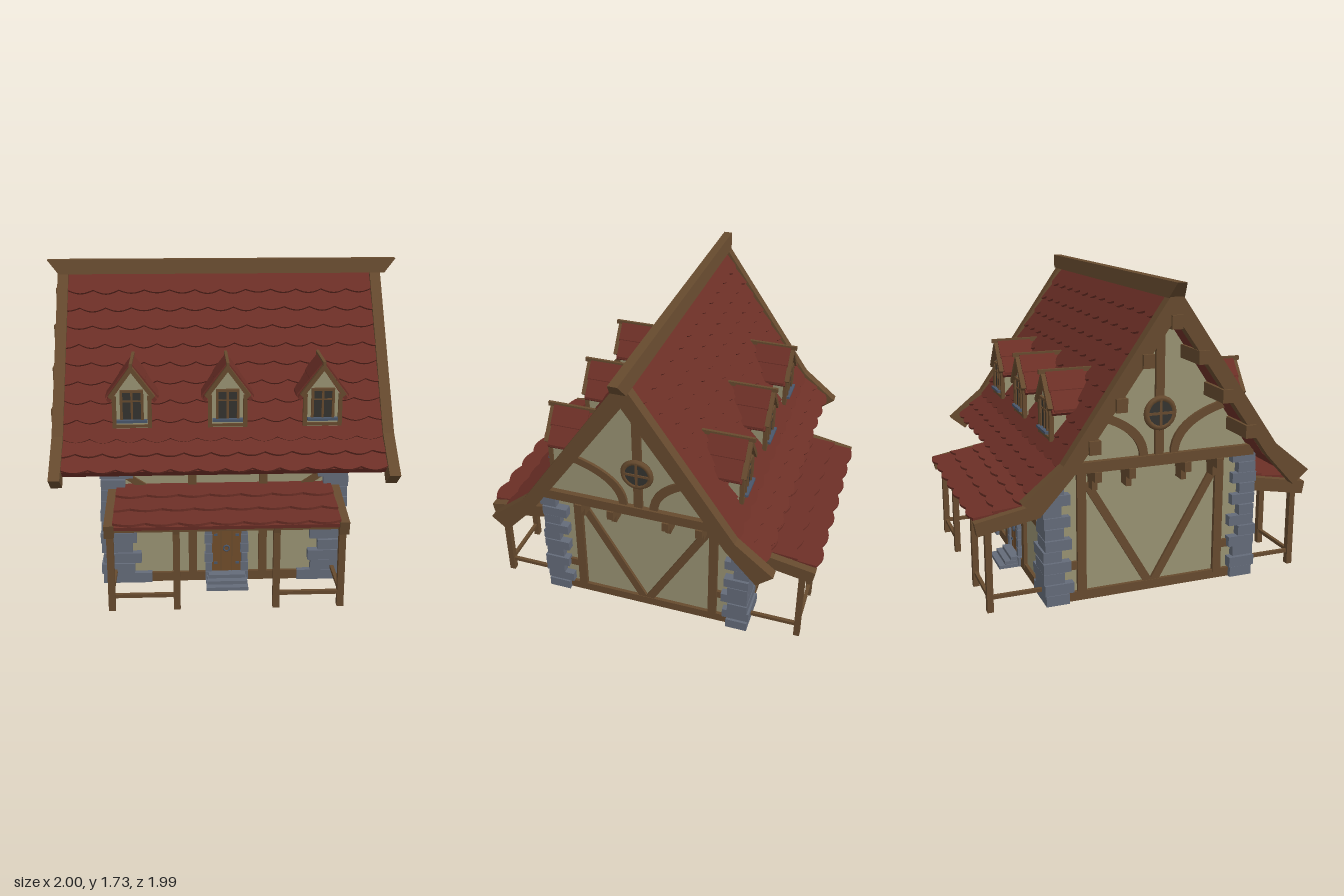
import * as THREE from 'three';

const mat = (name, color) => {
  const m = new THREE.MeshStandardMaterial({ color });
  m.name = name;
  return m;
};
const V = (x, y, z) => new THREE.Vector3(x, y, z);

export function createModel() {
  const wood = mat('timber', 0x664a2e);
  const plaster = mat('plaster', 0x989272);
  const red = mat('roof tile', 0x6c2f26);
  const stone = mat('stone', 0x646b79);
  const glass = mat('dark glass', 0x34332f);
  const plank = mat('door wood', 0x704c2a);
  const iron = mat('iron', 0x49566a);

  let seed = 11;
  const rnd = () => (seed = (seed * 16807) % 2147483647) / 2147483647;

  const add = (parent, name, geo, m) => {
    const mesh = new THREE.Mesh(geo, m);
    mesh.name = name;
    parent.add(mesh);
    return mesh;
  };
  const group = (parent, name) => {
    const g = new THREE.Group();
    g.name = name;
    parent.add(g);
    return g;
  };
  const box = (parent, name, m, x, y, z, w, h, d) => {
    const b = add(parent, name, new THREE.BoxGeometry(w, h, d), m);
    b.position.set(x, y, z);
    return b;
  };
  // Square timber running from a to b
  const beam = (parent, name, a, b, w, d, m = wood) => {
    const p = V(...a), q = V(...b), y = q.clone().sub(p);
    const len = y.length();
    y.normalize();
    const hint = Math.abs(y.z) > 0.9 ? V(0, 1, 0) : V(0, 0, 1);
    const x = y.clone().cross(hint).normalize();
    const mesh = add(parent, name, new THREE.BoxGeometry(w, len, d), m);
    mesh.quaternion.setFromRotationMatrix(new THREE.Matrix4().makeBasis(x, y, x.clone().cross(y)));
    mesh.position.copy(p.add(q).multiplyScalar(0.5));
    return mesh;
  };
  const extrude = (parent, name, m, pts, z0, z1) => {
    const shape = new THREE.Shape(pts.map(p => new THREE.Vector2(...p)));
    const geo = new THREE.ExtrudeGeometry(shape, { depth: z1 - z0, bevelEnabled: false });
    return add(parent, name, geo.translate(0, 0, z0), m);
  };
  // Symmetric outline: outer points from apex down, then inner points back up
  const mirrored = half => {
    const inner = half[half.length - 1];
    return [...half, ...half.slice(1, -1).reverse().map(([x, y]) => [-x, y])].filter(p => p !== undefined && inner);
  };

  // One course of scalloped tiles between slope points [z, y]
  const tileRow = (parent, top, bottom, width, tile, phase) => {
    const up = V(0, top[1] - bottom[1], top[0] - bottom[0]);
    const n = V(1, 0, 0).cross(up).normalize();
    const low = V(0, bottom[1], bottom[0]).addScaledVector(n, 0.013);
    up.copy(V(0, top[1], top[0]).sub(low));
    const len = up.length();
    up.normalize();
    const pts = [[-width / 2, len]];
    const steps = Math.round(width / tile * 6);
    let last = -1, jitter = 0;
    for (let i = 0; i <= steps; i++) {
      const u = i / 6 + phase + 1e-6, id = Math.floor(u);
      if (id !== last) { last = id; jitter = rnd() * 0.008; }
      const s = Math.sin(Math.PI * (u - id));
      pts.push([-width / 2 + width * i / steps, -0.004 - (0.018 + jitter) * Math.max(0, s)]);
    }
    pts.push([width / 2, len]);
    const mesh = extrude(parent, 'tileCourse', red, pts, 0, 0.013);
    mesh.quaternion.setFromRotationMatrix(
      new THREE.Matrix4().makeBasis(V(1, 0, 0), up, V(1, 0, 0).cross(up)));
    mesh.position.copy(low);
  };

  const model = new THREE.Group();
  model.name = 'cottage';
  const house = group(model, 'house');
  house.position.x = -0.015;

  // Roof shell, gable boards and ridge beam
  const roof = group(house, 'roof');
  const shell = mirrored([[0, 1.645], [0.563, 0.833], [0.72, 0.705], [0.69, 0.67], [0.545, 0.79], [0, 1.58]]);
  extrude(roof, 'roofShell', red, shell, -0.87, 0.87).rotation.y = Math.PI / 2;
  const board = mirrored([[0, 1.71], [0.59, 0.86], [0.8, 0.69], [0.71, 0.615], [0.54, 0.8], [0, 1.56]]);
  for (const s of [-1, 1])
    extrude(roof, 'gableBoard', wood, board, s > 0 ? 0.865 : -0.925, s > 0 ? 0.925 : -0.865).rotation.y = Math.PI / 2;
  const ridge = new THREE.BoxGeometry(2, 0.08, 0.05);
  const rp = ridge.attributes.position;
  for (let i = 0; i < rp.count; i++)
    if (rp.getY(i) < 0) rp.setXYZ(i, rp.getX(i) * 0.935, rp.getY(i), rp.getZ(i) * 1.7);
  ridge.computeVertexNormals();
  add(model, 'ridgeBeam', ridge, wood).position.y = 1.692;
  // Purlin ends on the right gable
  for (const [z, y] of [[0, 1.535], [0.15, 1.35], [0.29, 1.14], [0.43, 0.94]])
    for (const s of z ? [-1, 1] : [1])
      box(roof, 'purlin', wood, -0.81, y, s * z, 0.26, 0.07, 0.06);

  // Ground floor walls
  for (const s of [-1, 1]) {
    box(house, 'longWall', plaster, 0, 0.4, s * 0.57, 1.26, 0.76, 0.03);
    box(house, 'endWall', plaster, s * 0.615, 0.4, 0, 0.03, 0.76, 1.12);
  }

  // Stone quoins, wider towards the ground
  for (const sx of [-1, 1]) for (const sz of [-1, 1]) {
    const corner = group(house, 'stoneCorner');
    for (let i = 0; i < 12; i++) {
      const flare = Math.max(0, 1 - i / 6);
      const w = (i % 2 ? 0.12 : 0.16) + flare * 0.06 + rnd() * 0.02 + (i ? 0 : 0.03);
      const d = (i % 2 ? 0.13 : 0.09) + flare * 0.03 + rnd() * 0.02;
      const ox = 0.668 + rnd() * 0.014, oz = 0.612 + rnd() * 0.018;
      box(corner, 'quoin', stone, sx * (ox - w / 2), 0.031 + i * 0.0625, sz * (oz - d / 2), w, 0.058, d);
    }
  }

  const dormer = (parent, x) => {
    const g = group(parent, 'dormer');
    g.position.x = x;
    extrude(g, 'dormerWall', plaster, [[-0.095, 0.89], [0.095, 0.89], [0.095, 1.09], [0, 1.215], [-0.095, 1.09]], 0.3, 0.548);
    const chev = t => [[0, 1.235 + t], [0.135, 1.05 + t], [0.12, 1.035], [0, 1.205], [-0.12, 1.035], [-0.135, 1.05 + t]];
    extrude(g, 'dormerRoof', red, chev(0), 0.3, 0.55);
    extrude(g, 'dormerGableBoard', wood, [[0, 1.245], [0.125, 1.075], [0.108, 1.06], [0, 1.205], [-0.108, 1.06], [-0.125, 1.075]], 0.545, 0.572);
    // Overlapping tile courses on both slopes
    for (const s of [-1, 1]) for (const [a, b] of [[0.005, 0.075], [0.07, 0.142]]) {
      const y = v => 1.248 - v * 1.35;
      const p = [[s * a, y(a)], [s * b, y(b)], [s * b, y(b) + 0.013], [s * a, y(a) + 0.008]];
      extrude(g, 'dormerTiles', red, p, 0.34, 0.555 - b * 0.08);
    }
    box(g, 'dormerRidge', wood, 0, 1.245, 0.435, 0.016, 0.024, 0.3);
    for (const s of [-1, 1]) {
      box(g, 'dormerPost', wood, s * 0.095, 0.985, 0.548, 0.022, 0.18, 0.024);
      box(g, 'windowJamb', wood, s * 0.056, 1.015, 0.553, 0.014, 0.17, 0.02);
    }
    box(g, 'windowPane', glass, 0, 1.015, 0.55, 0.105, 0.165, 0.008);
    box(g, 'windowHead', wood, 0, 1.1, 0.553, 0.126, 0.014, 0.02);
    box(g, 'mullion', wood, 0, 1.015, 0.555, 0.012, 0.165, 0.008);
    box(g, 'glazingBar', wood, 0, 1.045, 0.555, 0.105, 0.008, 0.008);
    box(g, 'windowSill', iron, 0, 0.936, 0.56, 0.165, 0.014, 0.035);
    box(g, 'dormerSill', wood, 0, 0.905, 0.548, 0.2, 0.016, 0.02);
  };

  const door = (parent, x) => {
    const g = group(parent, 'doorway');
    g.position.x = x;
    box(g, 'doorLeaf', plank, 0, 0.19, 0.594, 0.175, 0.29, 0.02);
    for (const s of [-1, 1]) {
      for (let i = 0; i < 6; i++)
        box(g, 'jambStone', stone, s * 0.1, 0.035 + i * 0.056, 0.598, 0.034 + rnd() * 0.014, 0.052, 0.04);
      box(g, 'doorSeam', wood, s * 0.03, 0.19, 0.604, 0.005, 0.27, 0.006);
    }
    for (let i = 0; i < 5; i++)
      box(g, 'lintelStone', stone, -0.092 + i * 0.046, 0.342, 0.598, 0.044, 0.032 + rnd() * 0.01, 0.042);
    add(g, 'doorRing', new THREE.TorusGeometry(0.016, 0.005, 6, 16), iron).position.set(0, 0.2, 0.61);
    for (const y of [0.11, 0.28]) for (const s of [-1, 1])
      box(g, 'doorStud', iron, s * 0.06, y, 0.606, 0.02, 0.012, 0.008);
    for (let i = 0; i < 3; i++)
      box(g, 'step', stone, 0, 0.01 + i * 0.02, 0.655 - i * 0.018, 0.23 - i * 0.012, 0.02, 0.15 - i * 0.036);
  };

  const porch = parent => {
    const g = group(parent, 'porch');
    for (const s of [-1, 1]) {
      for (const x of [0.605, 0.262]) box(g, 'porchPost', wood, s * x, 0.225, 0.905, 0.036, 0.45, 0.034);
      beam(g, 'porchRafter', [s * 0.605, 0.545, 0.57], [s * 0.605, 0.472, 0.97], 0.05, 0.075);
      beam(g, 'innerRafter', [s * 0.262, 0.52, 0.57], [s * 0.262, 0.455, 0.93], 0.034, 0.04);
      box(g, 'frontRail', wood, s * 0.433, 0.08, 0.905, 0.33, 0.02, 0.02);
      box(g, 'sideRail', wood, s * 0.605, 0.08, 0.745, 0.02, 0.02, 0.32);
    }
    box(g, 'porchHeader', wood, 0, 0.468, 0.905, 1.2, 0.04, 0.034);
    beam(g, 'porchDeck', [0, 0.553, 0.585], [0, 0.485, 0.96], 1.17, 0.02, red);
    for (let i = 2; i >= 0; i--) {
      const at = t => [0.58 + t * 0.385, 0.572 - t * 0.072];
      tileRow(g, at(i / 3), at((i + 1) / 3), 1.17, 0.167, i % 2 ? 0.5 : 0);
    }
  };

  // Two long sides with the same build
  const slope = s => s < 0.99
    ? [0.565 * s / 0.99, 1.647 - 0.814 * s / 0.99]
    : [0.565 + (s - 0.99) * 0.777, 0.833 - (s - 0.99) * 0.629];
  for (const s of [1, -1]) {
    const side = group(house, s > 0 ? 'frontSide' : 'backSide');
    if (s < 0) side.rotation.y = Math.PI;
    for (let i = 0; i < 11; i++) {
      const a = i < 9 ? i * 0.11 : 0.99 + (i - 9) * 0.1;
      const b = i < 9 ? a + 0.11 : a + 0.1;
      tileRow(side, slope(a), slope(b - 1e-4), 1.735, 0.145, (i % 2) * 0.5);
    }
    for (const x of [-0.515, 0, 0.515]) dormer(side, x + s * 0.021);
    door(side, s * 0.013);
    porch(side);
    // Timber framing
    box(side, 'sill', wood, 0, 0.028, 0.588, 1.2, 0.052, 0.03);
    box(side, 'midRail', wood, 0, 0.4, 0.588, 1.2, 0.038, 0.03);
    for (const d of [-1, 1]) {
      box(side, 'wallPost', wood, d * 0.195 + s * 0.02, 0.39, 0.589, 0.046, 0.72, 0.034);
      beam(side, 'brace', [d * 0.6, 0.68, 0.586], [d * 0.21, 0.42, 0.586], 0.036, 0.028);
    }
  }

  // Two gable ends
  for (const s of [1, -1]) {
    const end = group(house, s > 0 ? 'leftGable' : 'rightGable');
    end.rotation.y = s * Math.PI / 2;
    extrude(end, 'gableWall', plaster, [[-0.55, 0.77], [0.55, 0.77], [0, 1.585]], 0.61, 0.72);
    box(end, 'gableTie', wood, 0, 0.78, 0.7, 1.12, 0.058, 0.1);
    box(end, 'kingPost', wood, 0, 1.18, 0.725, 0.048, 0.76, 0.03);
    box(end, 'endSill', wood, 0, 0.028, 0.632, 1.2, 0.052, 0.036);
    for (const d of [-1, 1]) {
      box(end, 'endPost', wood, d * 0.405, 0.4, 0.635, 0.05, 0.72, 0.034);
      beam(end, 'longBrace', [d * 0.375, 0.66, 0.632], [d * 0.012, 0.04, 0.632], 0.046, 0.03);
      box(end, 'shortRail', wood, d * 0.48, 0.205, 0.632, 0.12, 0.046, 0.03);
      for (const x of [0.35, 0.16]) {
        box(end, 'joistEnd', wood, d * x, 0.725, 0.69, 0.038, 0.055, 0.14);
        box(end, 'corbel', wood, d * x, 0.675, 0.665, 0.03, 0.07, 0.08);
      }
      // Curved brace swept between two arcs
      const arc = new THREE.Shape();
      arc.moveTo(d * 0.41, 1.08);
      arc.bezierCurveTo(d * 0.25, 1.05, d * 0.06, 0.97, d * 0.065, 0.8);
      arc.lineTo(d * 0.11, 0.8);
      arc.bezierCurveTo(d * 0.11, 0.92, d * 0.24, 1.0, d * 0.4, 1.035);
      add(end, 'curvedBrace', new THREE.ExtrudeGeometry(arc, { depth: 0.025, bevelEnabled: false }), wood).position.z = 0.713;
    }
    // Round window
    const win = group(end, 'roundWindow');
    win.position.set(0, 1.033, 0.74);
    add(win, 'roundPane', new THREE.CylinderGeometry(0.078, 0.078, 0.02, 20), glass).rotation.x = Math.PI / 2;
    add(win, 'roundFrame', new THREE.TorusGeometry(0.077, 0.017, 6, 20), wood);
    box(win, 'verticalBar', wood, 0, 0, 0.01, 0.014, 0.15, 0.01);
    box(win, 'crossBar', wood, 0, 0, 0.01, 0.15, 0.014, 0.01);
  }
  return model;
}
